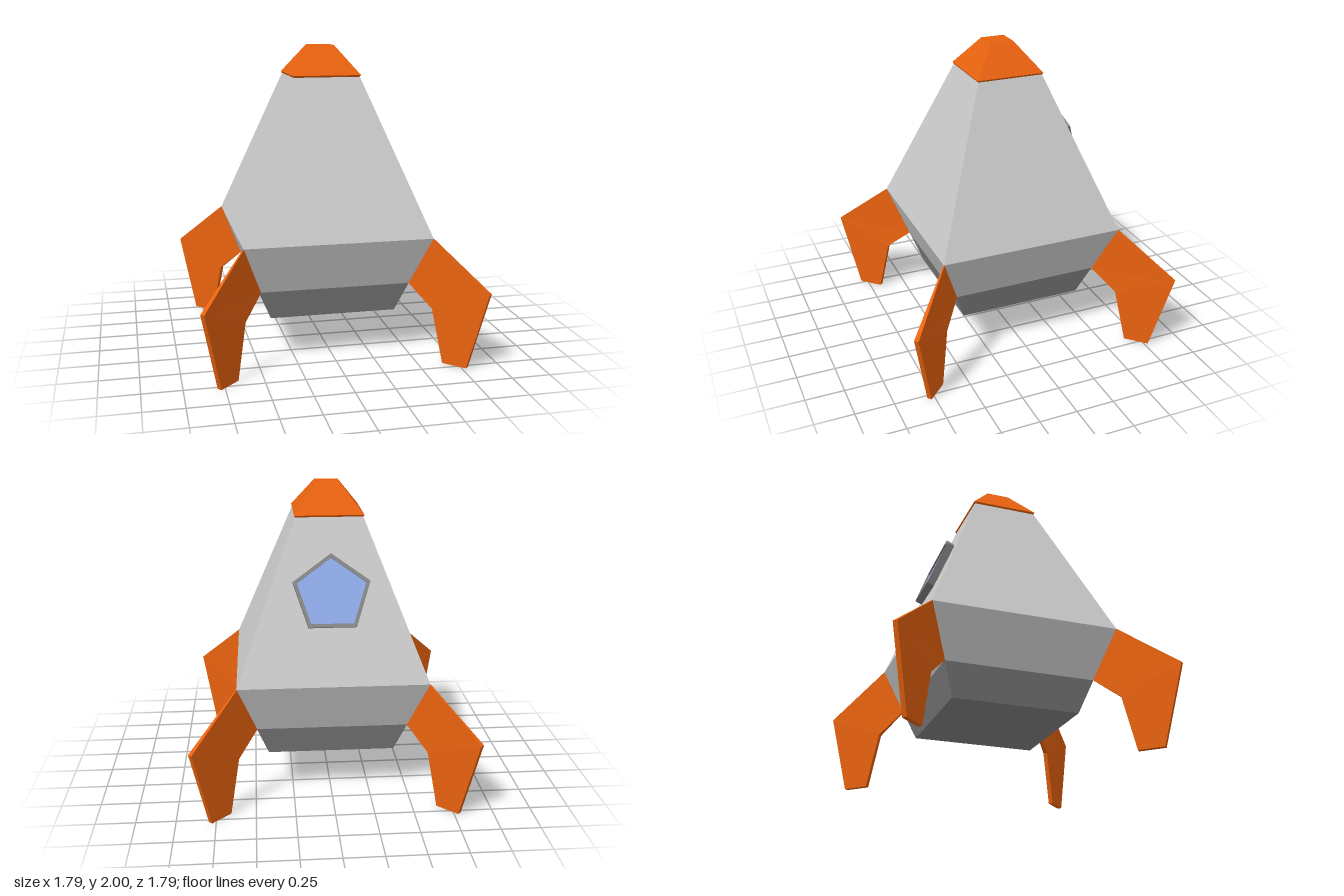
import * as THREE from 'three';

const grey = (color = 0xcccccc) => new THREE.MeshStandardMaterial({ color, flatShading: true });

// Square tapered block from half-width a at y0 to half-width b at y1
function frustum(name, a, y0, b, y1, material) {
  const geo = new THREE.CylinderGeometry(b * Math.SQRT2, a * Math.SQRT2, y1 - y0, 4);
  geo.rotateY(Math.PI / 4);
  geo.translate(0, (y0 + y1) / 2, 0);
  const mesh = new THREE.Mesh(geo, material);
  mesh.name = name;
  return mesh;
}

// Corners of a regular pentagon with one point up
function pentagon(r) {
  return Array.from({ length: 5 }, (_, i) => {
    const a = Math.PI / 2 + (i * 2 * Math.PI) / 5;
    return new THREE.Vector2(r * Math.cos(a), r * Math.sin(a));
  });
}

// Blade fin: x runs outward along the hull diagonal, thinning towards the hull
function finGeometry() {
  const outline = [[0.485, 0.49], [0.61, 0.35], [0.668, 0], [0.785, 0], [0.885, 0.51], [0.605, 0.81]];
  const shape = new THREE.Shape(outline.map(([x, y]) => new THREE.Vector2(x * Math.SQRT2, y)));
  const geo = new THREE.ExtrudeGeometry(shape, { depth: 1, bevelEnabled: false });
  const p = geo.attributes.position;
  for (let i = 0; i < p.count; i++) {
    const hullX = (0.605 + (p.getY(i) - 0.81) * 0.375) * Math.SQRT2;
    const t = THREE.MathUtils.clamp(0.008 + (p.getX(i) - hullX) * 0.08, 0.008, 0.03);
    p.setZ(i, (p.getZ(i) - 0.5) * t);
  }
  geo.computeVertexNormals();
  return geo;
}

export function createModel() {
  const model = new THREE.Group();
  model.name = 'rocket';
  const hull = grey();
  const dark = grey(0x888888);
  const orange = grey(0xe8620f);
  const blue = grey(0x8fabe8);

  // Body
  model.add(
    frustum('engineBase', 0.41, 0.29, 0.485, 0.49, dark),
    frustum('lowerHull', 0.485, 0.49, 0.605, 0.81, hull),
    frustum('upperHull', 0.605, 0.81, 0.213, 1.81, hull),
    frustum('noseLip', 0.215, 1.803, 0.222, 1.815, orange),
    frustum('noseCone', 0.222, 1.815, 0.077, 2, orange),
  );

  // Fins on the four corners
  const finGeo = finGeometry();
  for (let i = 0; i < 4; i++) {
    const fin = new THREE.Mesh(finGeo, orange);
    fin.name = 'fin';
    fin.rotation.y = Math.PI / 4 + (i * Math.PI) / 2;
    model.add(fin);
  }

  // Pentagonal window lying on the sloping back face
  const porthole = new THREE.Group();
  porthole.name = 'window';
  const ring = new THREE.Shape(pentagon(0.255));
  ring.holes.push(new THREE.Path(pentagon(0.228)));
  const frame = new THREE.Mesh(
    new THREE.ExtrudeGeometry(ring, { depth: 0.05, bevelEnabled: false }), dark);
  frame.name = 'windowFrame';
  const glass = new THREE.Mesh(
    new THREE.ExtrudeGeometry(new THREE.Shape(pentagon(0.23)), { depth: 0.038, bevelEnabled: false }), blue);
  glass.name = 'windowGlass';
  porthole.add(frame, glass);
  porthole.position.set(0, 1.347, -0.395);
  porthole.rotation.order = 'YXZ';
  porthole.rotation.set(-Math.atan(0.392), Math.PI, 0);
  model.add(porthole);

  return model;
}
